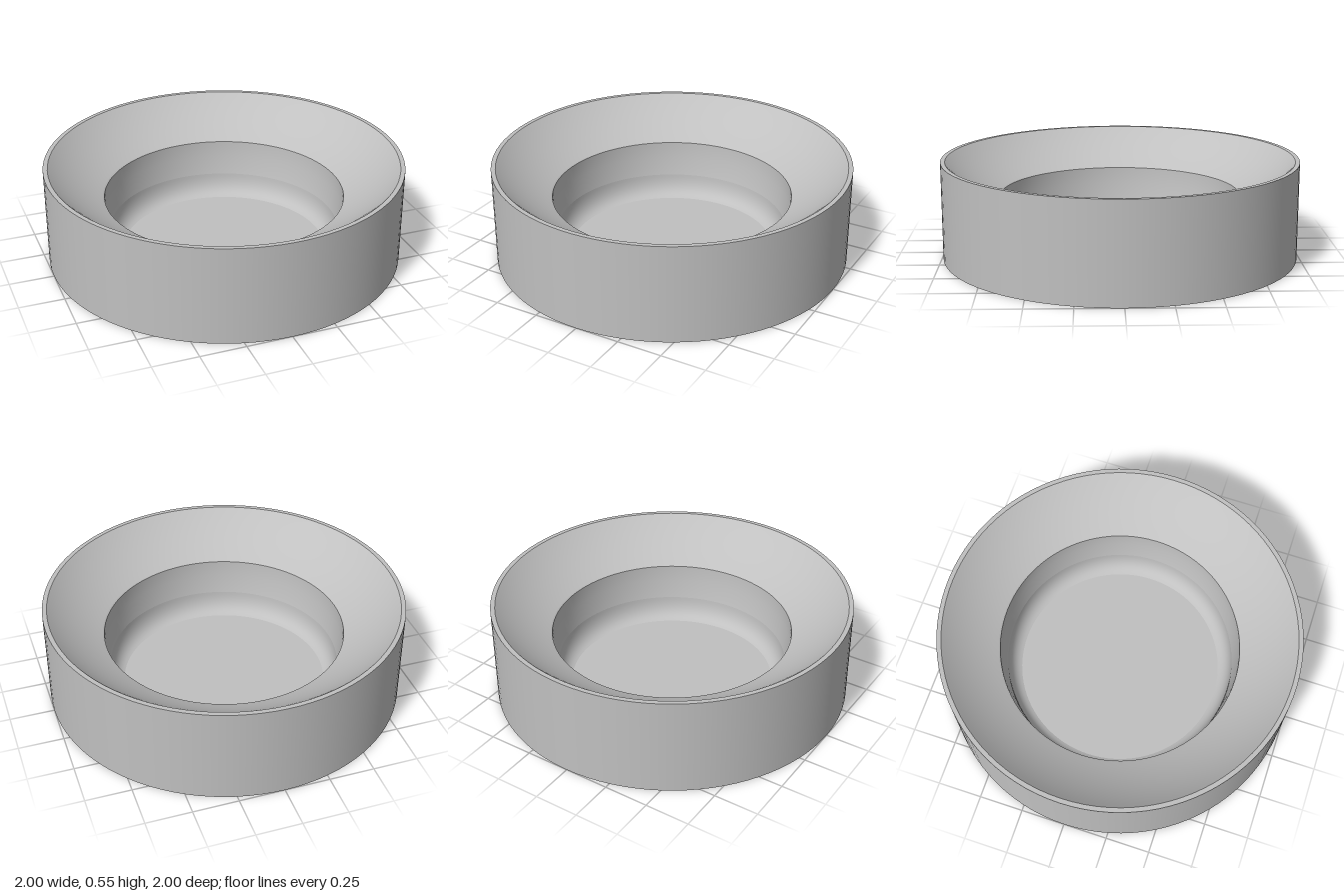
import * as THREE from 'three';

const SEGMENTS = 96;

export function createModel() {
  const group = new THREE.Group();
  group.name = 'roundDish';
  const grey = new THREE.MeshStandardMaterial({ color: 0xc0c0c0 });
  grey.name = 'plainGrey';

  // Revolve a profile of [radius, height] points; each part stays smooth, joints stay sharp
  const addTurned = (name, points) => {
    const profile = points.map(([r, y]) => new THREE.Vector2(r, y));
    const mesh = new THREE.Mesh(new THREE.LatheGeometry(profile, SEGMENTS), grey);
    mesh.name = name;
    group.add(mesh);
  };

  // Points along a quadratic curve from a to b, pulled towards c
  const bend = (a, c, b, steps = 12) =>
    new THREE.QuadraticBezierCurve(
      new THREE.Vector2(...a), new THREE.Vector2(...c), new THREE.Vector2(...b)
    ).getPoints(steps).map((p) => [p.x, p.y]);

  // Outside of the dish
  addTurned('base', [[0, 0], [1, 0]]);
  addTurned('outerWall', [[1, 0], [1, 0.55]]);
  addTurned('rim', [[1, 0.55], [0.975, 0.55]]);

  // Shallow concave slope down to the well
  addTurned('slopedBowl', bend([0.975, 0.55], [0.85, 0.43], [0.68, 0.35]));

  // Narrow lip, then the well wall
  addTurned('wellLip', [[0.68, 0.35], [0.672, 0.345]]);
  addTurned('wellWall', [[0.672, 0.345], [0.668, 0.25], [0.645, 0.14]]);

  // Rounded foot of the well and its flat floor
  addTurned('wellFillet', bend([0.645, 0.14], [0.64, 0.035], [0.575, 0.012]));
  addTurned('wellFloor', [[0.575, 0.012], [0, 0.012]]);

  return group;
}
